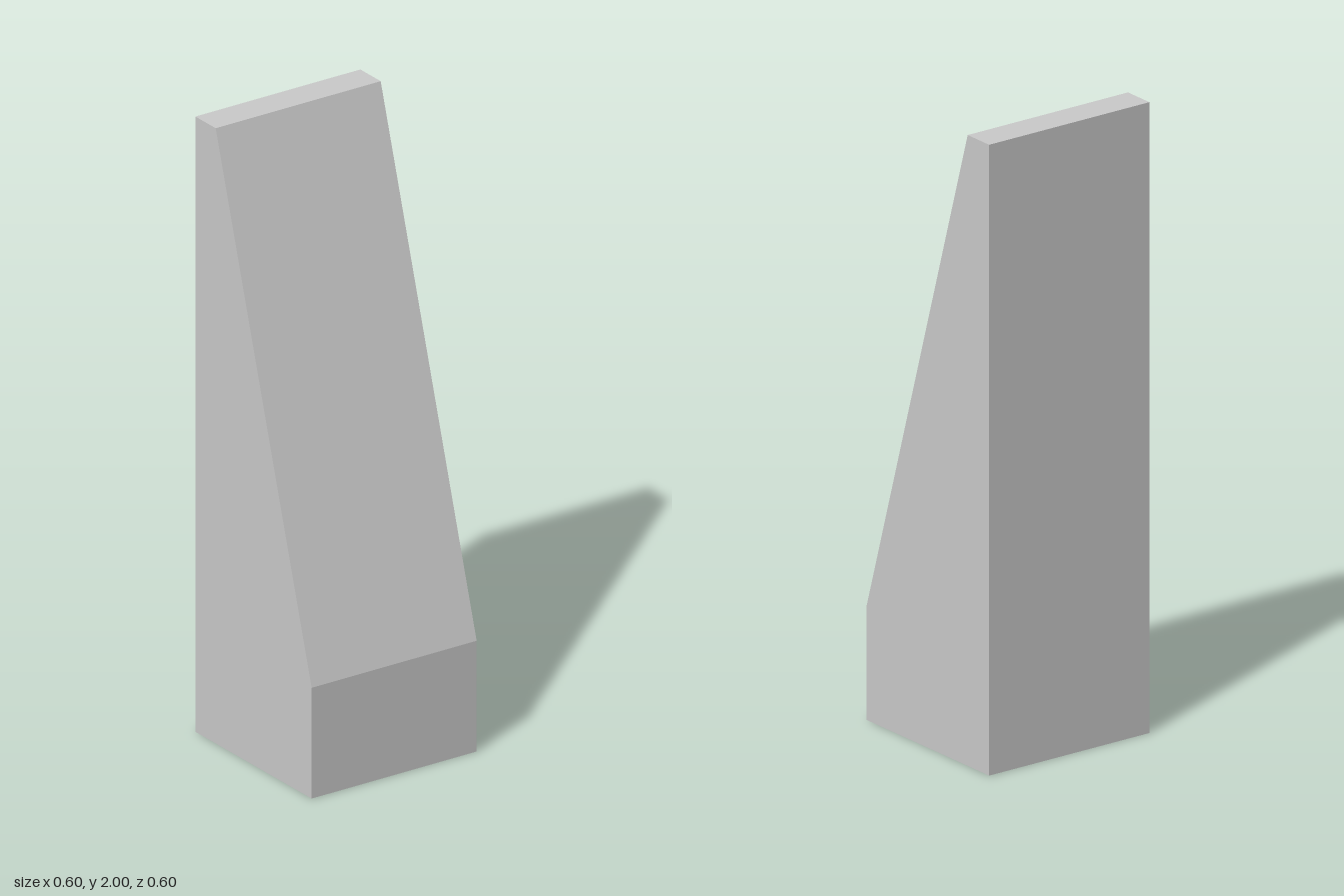
import * as THREE from 'three';

export function createModel() {
  const group = new THREE.Group();
  group.name = 'wedgeBlock';
  const width = 0.6;

  // Side profile as (z, y): upright back, short front face, long sloping face, narrow flat top
  const profile = new THREE.Shape([
    [-0.3, 0], [0.3, 0], [0.3, 0.36], [-0.195, 2], [-0.3, 2],
  ].map(([z, y]) => new THREE.Vector2(z, y)));

  // Extrude across the width, centre it, and turn the profile to face +z
  const geometry = new THREE.ExtrudeGeometry(profile, { depth: width, bevelEnabled: false });
  geometry.translate(0, 0, -width / 2);
  geometry.rotateY(-Math.PI / 2);

  const material = new THREE.MeshStandardMaterial({ color: 0xcccccc, flatShading: true });
  const block = new THREE.Mesh(geometry, material);
  block.name = 'slopedBlock';
  group.add(block);
  return group;
}
